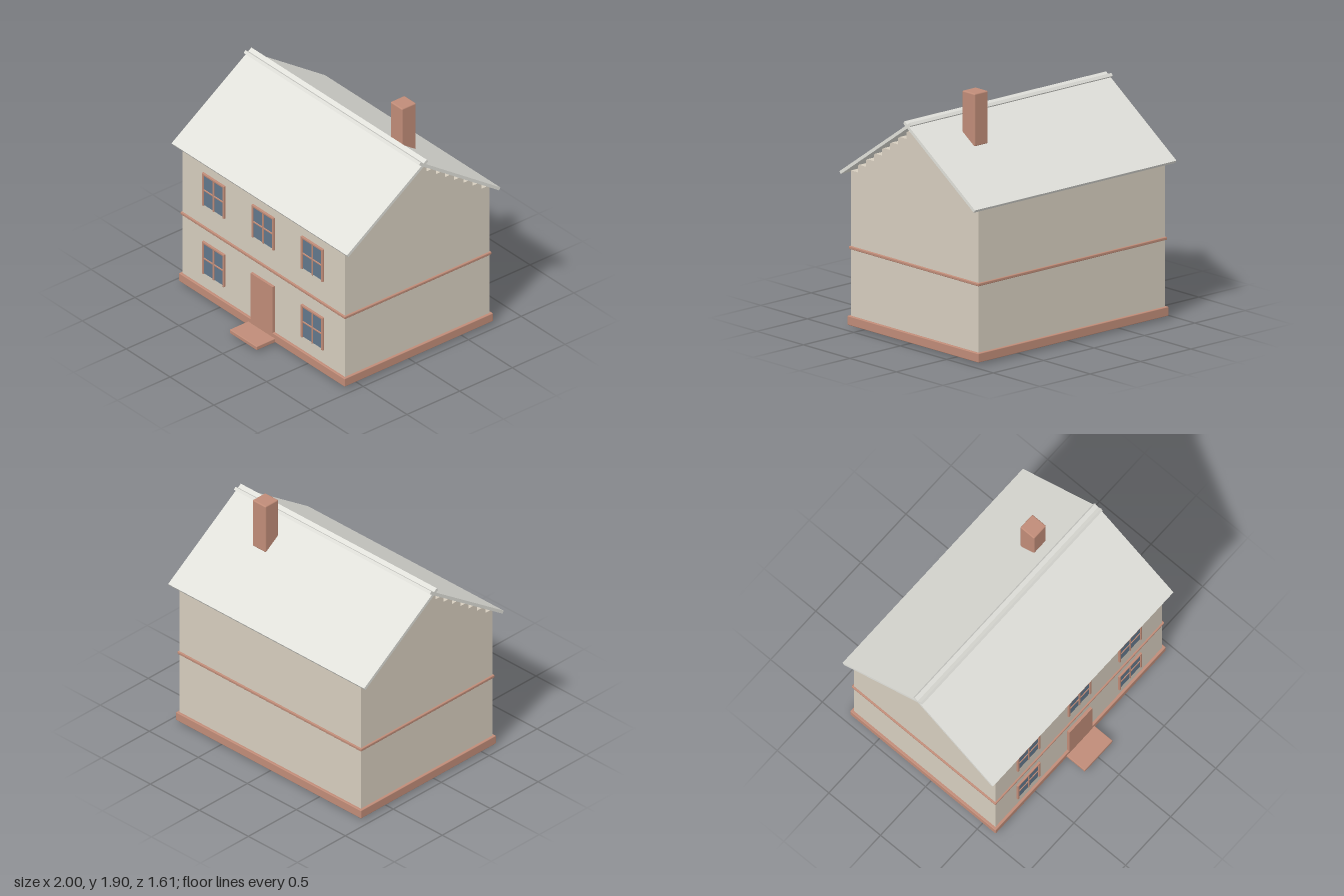
import * as THREE from 'three';
import { RoundedBoxGeometry } from 'three/addons/geometries/RoundedBoxGeometry.js';

const mat = (color) => new THREE.MeshStandardMaterial({ color });

export function createModel() {
  const house = new THREE.Group();
  house.name = 'house';
  const wallMat = mat(0xd6cdbe), trimMat = mat(0xc08c78);
  const glassMat = mat(0x62788c), roofMat = mat(0xe0e0da);
  const ridgeZ = -0.075, wallX = 0.925;

  // Box given by its extents; a radius softens the edges
  function block(name, [x0, x1], [y0, y1], [z0, z1], material, radius = 0, parent = house) {
    const size = [x1 - x0, y1 - y0, z1 - z0];
    const geometry = radius
      ? new RoundedBoxGeometry(...size, 2, radius)
      : new THREE.BoxGeometry(...size);
    const mesh = new THREE.Mesh(geometry, material);
    mesh.position.set((x0 + x1) / 2, (y0 + y1) / 2, (z0 + z1) / 2);
    mesh.name = name;
    parent.add(mesh);
    return mesh;
  }

  // Walls, plinth and the band between the floors
  block('walls', [-wallX, wallX], [0.04, 1.19], [-0.76, 0.61], wallMat);
  block('plinth', [-0.945, 0.945], [0.02, 0.09], [-0.78, 0.63], trimMat, 0.006);
  block('floorBand', [-0.938, 0.938], [0.595, 0.618], [-0.772, 0.622], trimMat, 0.006);

  // Stepped gable courses, narrowing up to the ridge
  for (let i = 0; i < 8; i++) {
    const half = 0.613 - 0.087 * i, y = 1.19 + 0.06 * i;
    block('gableCourse', [-wallX, wallX], [y, y + 0.06], [ridgeZ - half, ridgeZ + half], wallMat);
  }

  // Two roof slabs crossing at the ridge
  const pitch = Math.atan2(0.52, 0.757);
  for (const side of [1, -1]) {
    const slab = new THREE.Mesh(new THREE.BoxGeometry(2, 0.024, 0.92), roofMat);
    slab.name = side > 0 ? 'frontRoof' : 'backRoof';
    slab.position.set(0, 1.44, ridgeZ + side * 0.343);
    slab.rotation.x = side * pitch;
    house.add(slab);
  }

  // Chimney
  block('chimney', [0.45, 0.585], [1.5, 1.9], [-0.35, -0.215], trimMat, 0.01);

  // Door and step
  block('door', [-0.128, 0.125], [0, 0.485], [0.6, 0.632], trimMat);
  block('doorStep', [-0.156, 0.153], [0.022, 0.055], [0.615, 0.805], trimMat, 0.006);

  // Four-pane window, framed on the top and both sides
  function addWindow(x, y) {
    const win = new THREE.Group();
    win.name = 'window';
    win.position.set(x, y, 0.61);
    block('glass', [-0.115, 0.115], [0.006, 0.262], [-0.005, 0.006], glassMat, 0, win);
    for (const s of [-1, 1]) {
      block('frameSide', [s * 0.117 - 0.009, s * 0.117 + 0.009], [0, 0.28], [-0.004, 0.016], trimMat, 0.004, win);
    }
    block('frameTop', [-0.126, 0.126], [0.262, 0.28], [-0.004, 0.016], trimMat, 0.004, win);
    block('verticalBar', [-0.007, 0.007], [0, 0.265], [-0.004, 0.012], trimMat, 0.004, win);
    block('crossBar', [-0.11, 0.11], [0.128, 0.142], [-0.004, 0.012], trimMat, 0.004, win);
    house.add(win);
  }
  for (const x of [-0.564, 0, 0.562]) {
    addWindow(x, 0.795);
    if (x !== 0) addWindow(x, 0.206);
  }

  return house;
}
